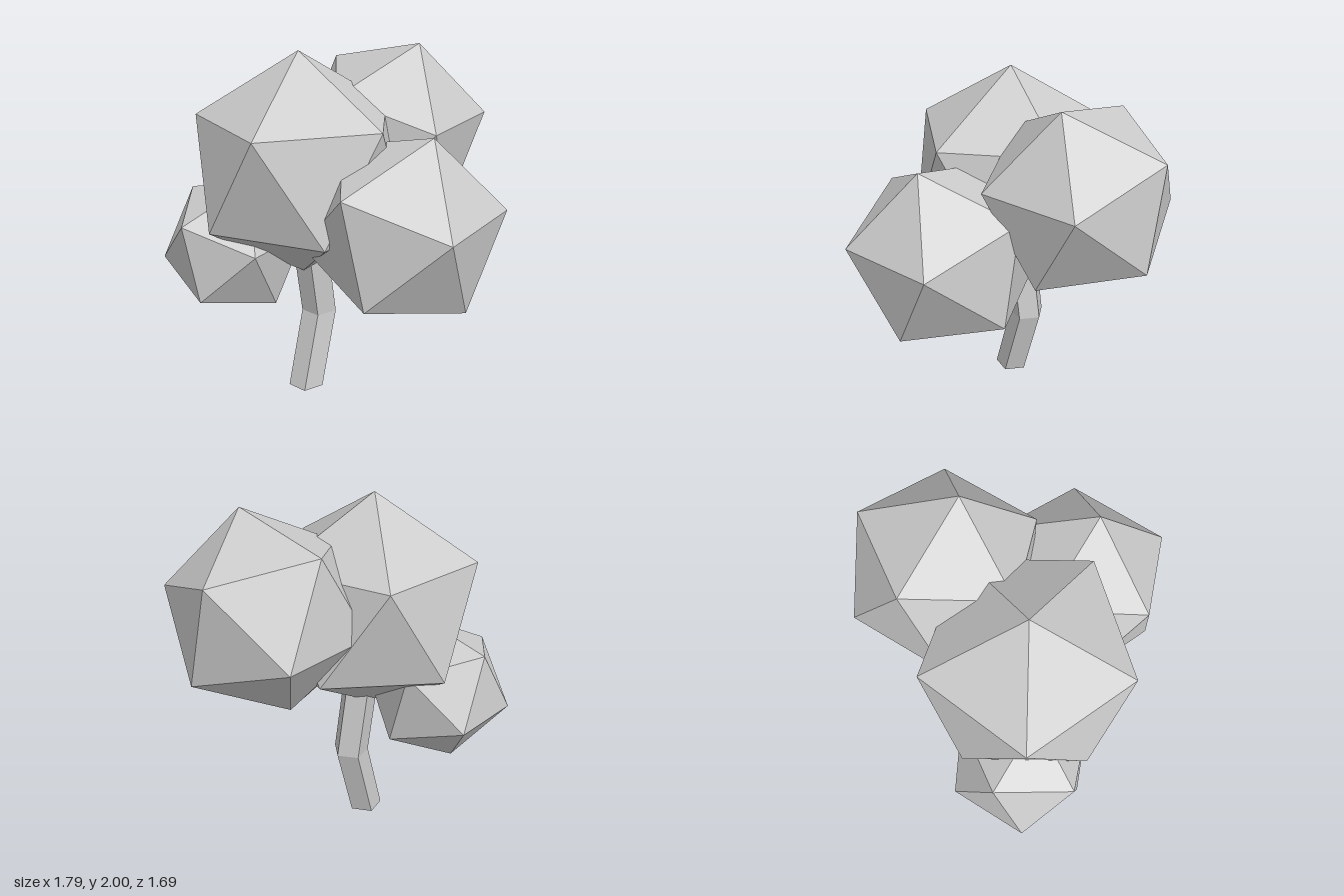
import * as THREE from 'three';

const material = new THREE.MeshStandardMaterial({ color: 0xcccccc, flatShading: true });
const v = (a) => new THREE.Vector3(...a);

// Rotation frame spanned by two neighbouring corner directions
function frame(a, b) {
  const x = a.clone().normalize();
  const z = a.clone().cross(b).normalize();
  return new THREE.Matrix4().makeBasis(x, z.clone().cross(x), z);
}

// Icosahedron turned so that two neighbouring corners point along a and b
function foliage(name, radius, center, a, b) {
  const t = (1 + Math.sqrt(5)) / 2;
  const rest = frame(v([1, t, 0]), v([-1, t, 0]));
  const geometry = new THREE.IcosahedronGeometry(radius, 0);
  geometry.applyMatrix4(frame(v(a), v(b)).multiply(rest.transpose()));
  geometry.computeVertexNormals();
  const mesh = new THREE.Mesh(geometry, material);
  mesh.name = name;
  mesh.position.set(...center);
  return mesh;
}

// Five-sided trunk of constant section, bent at its middle ring
function trunk() {
  const rings = [[0, 0.266], [0.45, 0.136], [1.0, 0.216]]; // y, z of each ring centre
  const geometry = new THREE.CylinderGeometry(0.104, 0.104, 2, 5, 2, false, Math.PI);
  const p = geometry.attributes.position;
  for (let i = 0; i < p.count; i++) {
    const [y, z] = rings[Math.round(p.getY(i)) + 1];
    p.setXYZ(i, p.getX(i) - 0.207, y, p.getZ(i) + z);
  }
  geometry.computeVertexNormals();
  const mesh = new THREE.Mesh(geometry, material);
  mesh.name = 'trunk';
  return mesh;
}

export function createModel() {
  const group = new THREE.Group();
  group.name = 'tree';
  group.add(
    trunk(),
    foliage('mainFoliage', 0.63, [-0.207, 1.37, 0.266], [0, 1, 0], [2, 1, 0]),
    foliage('backFoliage', 0.55, [-0.073, 1.46, -0.373], [0.178, 0.52, -0.013], [0.426, 0.11, -0.332]),
    foliage('leftFoliage', 0.55, [0.411, 1.122, 0.156], [0.175, 0.522, -0.008], [0.478, 0.108, 0.252]),
    foliage('lowFoliage', 0.414, [-0.539, 0.886, 0.485], [-0.015, 0.207, 0.356], [0.08, -0.218, 0.345]),
  );
  return group;
}
